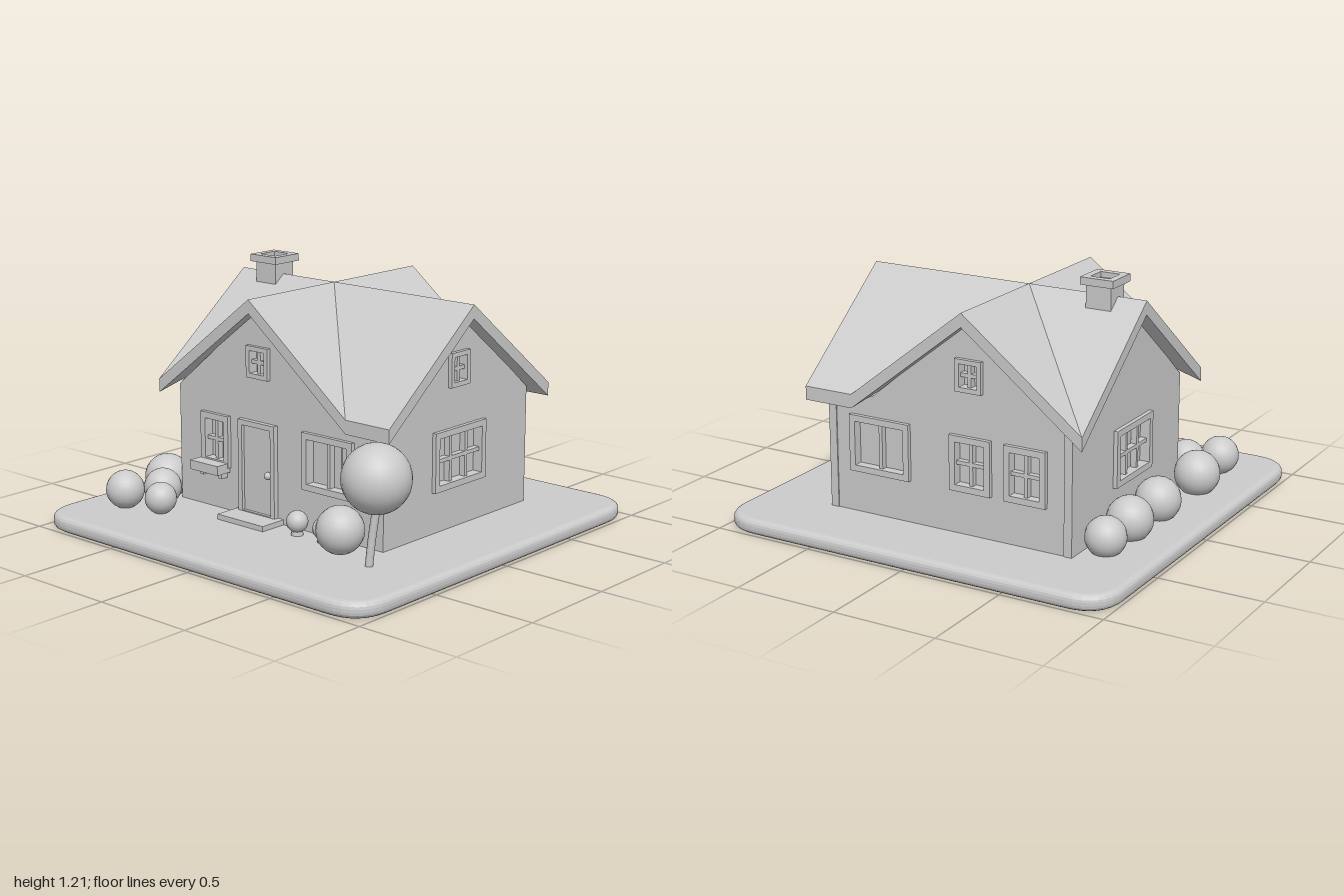
import * as THREE from 'three';

const mat = new THREE.MeshStandardMaterial({ color: 0xcccccc });
const CX = -0.145, CZ = -0.135;      // where the two ridges cross
const GROUND = 0.072;

function add(parent, name, geometry, x = 0, y = 0, z = 0) {
  const mesh = new THREE.Mesh(geometry, mat);
  mesh.name = name;
  mesh.position.set(x, y, z);
  parent.add(mesh);
  return mesh;
}

const box = (w, h, d) => new THREE.BoxGeometry(w, h, d);

function rectPath(u, y, w, h, Type = THREE.Path) {
  const p = new Type();
  p.moveTo(u - w / 2, y - h / 2);
  p.lineTo(u + w / 2, y - h / 2);
  p.lineTo(u + w / 2, y + h / 2);
  p.lineTo(u - w / 2, y + h / 2);
  p.closePath();
  return p;
}

const polygon = (pts) => new THREE.Shape(pts.map(([x, y]) => new THREE.Vector2(x, y)));
const extrude = (shape, depth) => new THREE.ExtrudeGeometry(shape, { depth, bevelEnabled: false });

function frame(u, y, w, h, t, depth) {
  const ring = rectPath(u, y, w, h, THREE.Shape);
  ring.holes.push(rectPath(u, y, w - 2 * t, h - 2 * t));
  return extrude(ring, depth);
}

// Pentagon with a gable peak
const gable = (c, half, eave, peak) => polygon([
  [c - half, GROUND - 0.02], [c + half, GROUND - 0.02], [c + half, eave], [c, peak], [c - half, eave]]);

// Framed opening with glazing bars, in wall coordinates
function addWindow(wall, { u, y, w, h, cols = 2, rows = 2 }) {
  const g = new THREE.Group();
  g.name = 'window';
  const t = w < 0.16 ? 0.022 : 0.03;
  add(g, 'windowFrame', frame(u, y, w, h, t, 0.05), 0, 0, -0.03);
  for (let i = 1; i < cols; i++)
    add(g, 'verticalBar', box(0.018, h - t, 0.03), u + (i / cols - 0.5) * (w - t), y, -0.012);
  for (let i = 1; i < rows; i++)
    add(g, 'crossBar', box(w - t, 0.018, 0.03), u, y + (i / rows - 0.5) * (h - t), -0.012);
  wall.add(g);
}

// Wall panel with openings; local +z points outwards
function addWall(house, name, angle, dist, shape, windows) {
  const wall = new THREE.Group();
  wall.name = name;
  wall.rotation.y = angle;
  wall.position.set(Math.sin(angle) * dist, 0, Math.cos(angle) * dist);
  for (const o of windows) shape.holes.push(rectPath(o.u, o.y, o.w - 0.03, o.h - 0.03));
  add(wall, 'wallPanel', extrude(shape, 0.04), 0, 0, -0.04);
  windows.forEach((o) => addWindow(wall, o));
  house.add(wall);
  return wall;
}

// Cross-gabled roof: a fan around the ridge crossing, with thickness
function roofGeometry() {
  const top = 1.12, eave = 0.66, h = 0.585, thick = 0.065;
  const x0 = CX - 0.595, x1 = 0.69, z0 = CZ - h, z1 = CZ + h, xv = CX + h;
  const rim = [
    [CX, top, z1], [xv, eave, z1], [x1, eave, z1], [x1, top, CZ], [x1, eave, z0],
    [xv, eave, z0], [CX, top, z0], [x0, eave, z0], [x0, top, CZ], [x0, eave, z1]];
  const low = (p) => [p[0], p[1] - thick, p[2]];
  const c = [CX, top, CZ], pos = [];
  rim.forEach((a, i) => {
    const b = rim[(i + 1) % rim.length];
    pos.push(...c, ...a, ...b, ...low(c), ...low(b), ...low(a));
    pos.push(...a, ...low(a), ...low(b), ...a, ...low(b), ...b);
  });
  const g = new THREE.BufferGeometry();
  g.setAttribute('position', new THREE.Float32BufferAttribute(pos, 3));
  g.computeVertexNormals();
  return g;
}

function baseGeometry() {
  const b = 0.03, e = 1 - b, r = 0.16, s = new THREE.Shape();
  s.moveTo(-e + r, -e);
  [[e, -e, 1, 0], [e, e, 0, 1], [-e, e, -1, 0], [-e, -e, 0, -1]].forEach(([x, y, dx, dy]) => {
    s.lineTo(x - dx * r, y - dy * r);
    s.quadraticCurveTo(x, y, x - dy * r, y + dx * r);
  });
  const g = new THREE.ExtrudeGeometry(s, {
    depth: 0.075 - 2 * b, bevelThickness: b, bevelSize: b, bevelSegments: 4, curveSegments: 8 });
  return g.rotateX(-Math.PI / 2).translate(0, b, 0);
}

export function createModel() {
  const model = new THREE.Group();
  model.name = 'cottage';
  add(model, 'lawnBase', baseGeometry());

  const house = new THREE.Group();
  house.name = 'house';
  model.add(house);

  // Solid core that closes the openings
  add(house, 'crossCore', extrude(gable(CX, 0.485, 0.64, 1.03), 0.98), 0, 0, -0.62);
  const core = add(house, 'mainCore', extrude(gable(-CZ, 0.49, 0.64, 1.03), 1.21), -0.63, 0, 0);
  core.rotation.y = Math.PI / 2;

  // Front and back walls, broader on the +x side of the gable
  const longWall = (m) => polygon([
    [-0.66, 0.05], [0.61, 0.05], [0.61, 0.64], [0.375, 0.64], [CX, 1.07], [-0.66, 0.64],
  ].map(([x, y]) => [x * m, y]));
  const front = addWall(house, 'frontWall', 0, 0.39, longWall(1), [
    { u: -0.415, y: 0.41, w: 0.18, h: 0.25 },
    { u: 0.29, y: 0.41, w: 0.3, h: 0.27, rows: 1 },
    { u: -0.135, y: 0.82, w: 0.135, h: 0.15 }]);
  addWall(house, 'backWall', Math.PI, 0.65, longWall(-1), [
    { u: 0.15, y: 0.41, w: 0.21, h: 0.26 },
    { u: 0.43, y: 0.41, w: 0.21, h: 0.26 },
    { u: -0.33, y: 0.41, w: 0.32, h: 0.27, rows: 1 },
    { u: 0.145, y: 0.82, w: 0.135, h: 0.15 }]);
  addWall(house, 'rightWall', Math.PI / 2, 0.61, gable(-CZ, 0.52, 0.64, 1.07), [
    { u: 0.135, y: 0.41, w: 0.37, h: 0.28, cols: 3 },
    { u: 0.125, y: 0.82, w: 0.135, h: 0.16 }]);
  addWall(house, 'leftWall', -Math.PI / 2, 0.66, gable(CZ, 0.52, 0.64, 1.07), [
    { u: -0.1, y: 0.41, w: 0.35, h: 0.27, cols: 3 }]);

  // Front door, step and window box
  add(front, 'doorFrame', frame(-0.14, 0.31, 0.23, 0.46, 0.025, 0.025));
  add(front, 'door', box(0.18, 0.42, 0.012), -0.14, 0.3, 0.003);
  add(front, 'doorHandle', new THREE.SphereGeometry(0.018, 12, 8), -0.065, 0.3, 0.025);
  add(front, 'doorStep', box(0.29, 0.03, 0.14), -0.135, 0.085, 0.07);
  add(front, 'windowBox', box(0.18, 0.045, 0.085), -0.42, 0.285, 0.045);
  for (const x of [-0.48, -0.36])
    add(front, 'windowBoxBracket', box(0.02, 0.035, 0.04), x, 0.25, 0.02);

  add(house, 'roof', roofGeometry());

  // Chimney with an open cap
  add(house, 'chimneyStack', box(0.125, 0.25, 0.125), -0.535, 1.06, -0.14);
  const cap = add(house, 'chimneyCap', frame(0, 0, 0.165, 0.165, 0.035, 0.035), -0.535, 1.175, -0.14);
  cap.rotation.x = -Math.PI / 2;

  // Tree
  const trunk = new THREE.CatmullRomCurve3([
    new THREE.Vector3(0.68, 0.06, 0.57), new THREE.Vector3(0.69, 0.2, 0.56), new THREE.Vector3(0.71, 0.36, 0.55)]);
  add(model, 'treeTrunk', new THREE.TubeGeometry(trunk, 8, 0.018, 10));
  add(model, 'treeCrown', new THREE.SphereGeometry(0.156, 24, 16), 0.71, 0.47, 0.555);

  // Bushes: x, y, z, radius
  [[0.49, 0.19, 0.54, 0.11],
    [-0.75, 0.16, 0.675, 0.092], [-0.635, 0.165, 0.54, 0.09], [-0.555, 0.145, 0.63, 0.076],
    [-0.75, 0.145, -0.51, 0.095], [-0.755, 0.155, -0.29, 0.108],
    [-0.755, 0.155, -0.01, 0.108], [-0.765, 0.16, 0.385, 0.11],
  ].forEach(([x, y, z, r]) => add(model, 'bush', new THREE.SphereGeometry(r, 20, 14), x, y, z));

  // Small clipped shrubs on stems
  for (const x of [0.155, 0.315]) {
    add(model, 'shrub', new THREE.SphereGeometry(0.051, 16, 12), x, 0.138, 0.455);
    add(model, 'shrubStem', new THREE.CylinderGeometry(0.025, 0.03, 0.05, 12), x, 0.09, 0.455);
  }
  return model;
}
